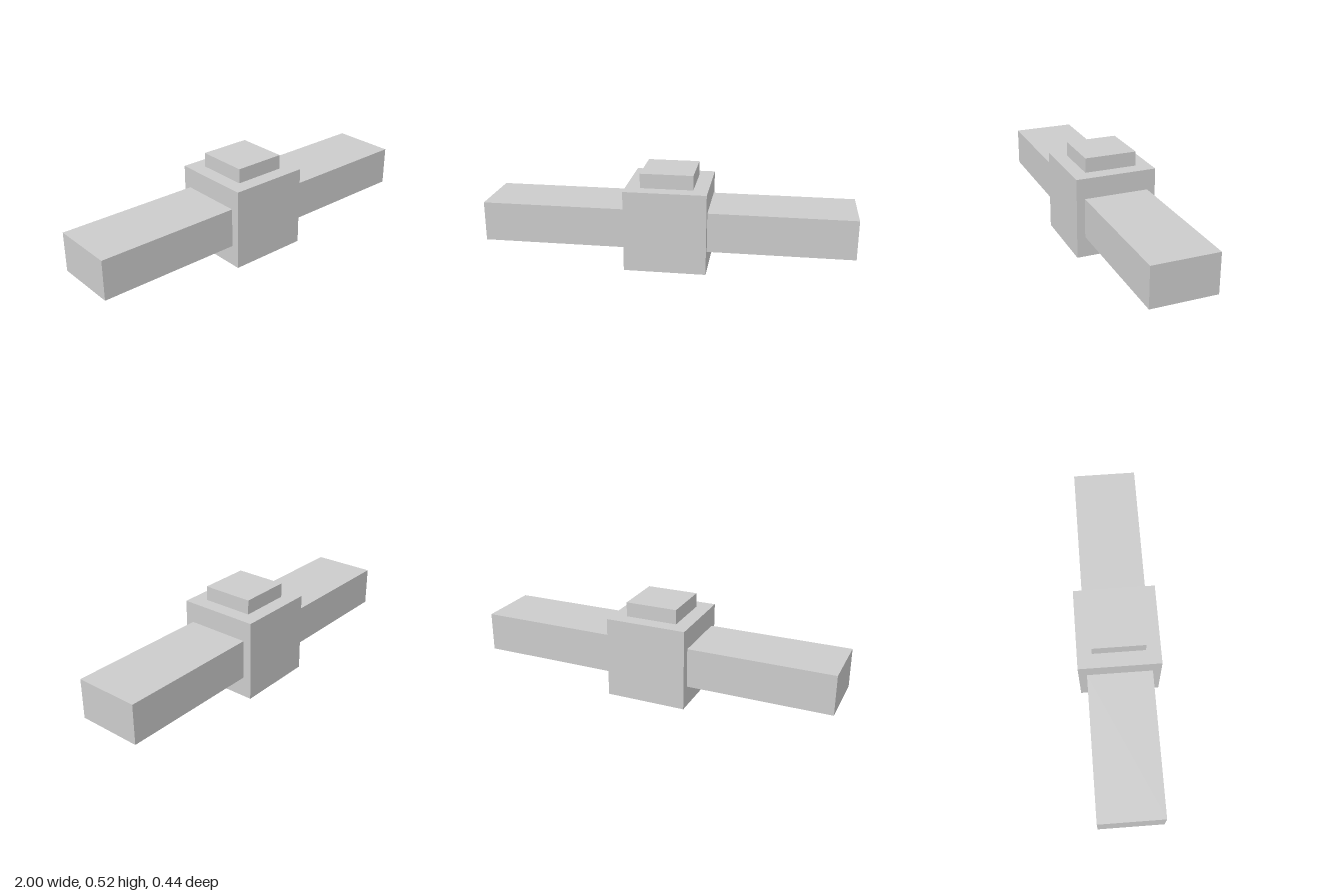
import * as THREE from 'three';

const material = new THREE.MeshStandardMaterial({ color: 0xcccccc, flatShading: true });

// Box given by its size, centred on x and z unless moved, with its base at y
function block(name, width, height, depth, y, x = 0) {
  const mesh = new THREE.Mesh(new THREE.BoxGeometry(width, height, depth), material);
  mesh.name = name;
  mesh.position.set(x, y + height / 2, 0);
  return mesh;
}

export function createModel() {
  const model = new THREE.Group();
  model.name = 'hubWithArms';

  const bodySize = 0.442;
  const armLength = 1 - bodySize / 2;
  const armCentre = 1 - armLength / 2;

  // Central cube with a smaller raised cap
  model.add(block('body', bodySize, bodySize, bodySize, 0));
  model.add(block('cap', 0.284, 0.079, 0.284, bodySize));

  // Mirrored side arms
  for (const [name, side] of [['leftArm', 1], ['rightArm', -1]]) {
    model.add(block(name, armLength, 0.216, 0.352, 0.114, side * armCentre));
  }
  return model;
}
